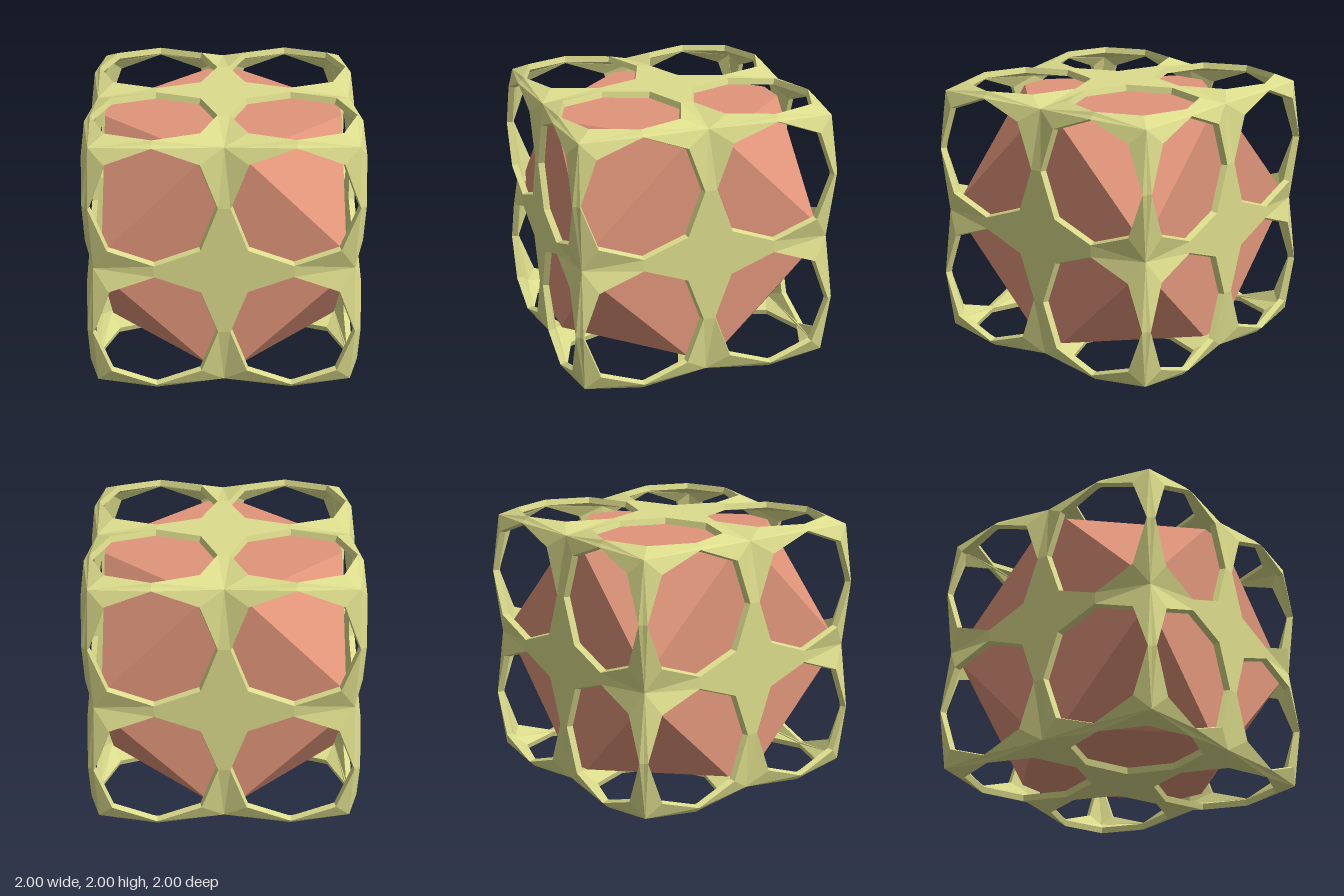
import * as THREE from 'three';
import { ConvexGeometry } from 'three/addons/geometries/ConvexGeometry.js';

// One quarter of a cube face: a ring of strut centres and nodes, and the octagonal hole inside it.
// depth 0 is the outer skin, a larger depth the inner skin.
function quarterCell(depth) {
  const face = 1 - depth, node = 0.94 - depth, edge = 0.975 - depth * 0.67;
  const ring = [
    [0, 0, face], [0.5, 0, face], [node, 0, node], [edge, 0.5, edge],
    [node, node, node], [0.5, edge, edge], [0, node, node], [0, 0.5, face],
  ];
  const shrink = depth ? 0.97 : 1;
  const rim = ring.map((_, i) => {
    const a = (-135 + i * 45) * Math.PI / 180;
    const r = (i % 2 ? 0.456 : 0.47) * shrink;
    return [0.5 + r * Math.cos(a), 0.5 + r * Math.sin(a), face];
  });
  return { ring, rim };
}

// Triangles of one cell: outer skin, inner skin and the wall of the hole
function cellTriangles() {
  const outer = quarterCell(0), inner = quarterCell(0.045);
  const tris = [];
  const skin = ({ ring, rim }, inward) => {
    for (let i = 0; i < 8; i += 2) {
      const n = i + 1, p = (i + 7) % 8;
      const fan = [ring[n], rim[n], rim[i], rim[p], ring[p]];
      for (let k = 0; k < 4; k++) {
        tris.push(inward ? [ring[i], fan[k + 1], fan[k]] : [ring[i], fan[k], fan[k + 1]]);
      }
    }
  };
  skin(outer, false);
  skin(inner, true);
  for (let i = 0; i < 8; i++) {
    const n = (i + 1) % 8;
    tris.push([outer.rim[i], outer.rim[n], inner.rim[n]], [outer.rim[i], inner.rim[n], inner.rim[i]]);
  }
  return tris;
}

const signs = [-1, 1];
function eachOctant(fn) {
  for (const sx of signs) for (const sy of signs) for (const sz of signs) fn(sx, sy, sz);
}

// Lattice shell: the cell mirrored into eight octants and turned onto three axes
function latticeGeometry() {
  const tris = cellTriangles(), positions = [];
  eachOctant((sx, sy, sz) => {
    for (let axis = 0; axis < 3; axis++) {
      for (const t of tris) {
        const corners = sx * sy * sz > 0 ? t : [t[0], t[2], t[1]];
        for (const p of corners) {
          positions.push(sx * p[axis], sy * p[(axis + 1) % 3], sz * p[(axis + 2) % 3]);
        }
      }
    }
  });
  const g = new THREE.BufferGeometry();
  g.setAttribute('position', new THREE.Float32BufferAttribute(positions, 3));
  g.computeVertexNormals();
  return g;
}

// Core: a box whose eight corners are cut off by deep diagonal planes
function coreGeometry() {
  const w = 0.88, h = 0.845, cut = 1.85, points = [];
  eachOctant((sx, sy, sz) => {
    for (const [x, y, z] of [[w, h, cut - w - h], [w, cut - 2 * w, w], [cut - w - h, h, w]]) {
      points.push(new THREE.Vector3(sx * x, sy * y, sz * z));
    }
  });
  return new ConvexGeometry(points);
}

export function createModel() {
  const group = new THREE.Group();
  const add = (name, geometry, color) => {
    const mesh = new THREE.Mesh(geometry, new THREE.MeshStandardMaterial({ color, flatShading: true }));
    mesh.name = name;
    mesh.position.y = 1;
    group.add(mesh);
  };
  add('latticeShell', latticeGeometry(), 0xdcdc8c);
  add('core', coreGeometry(), 0xe0957a);
  return group;
}
